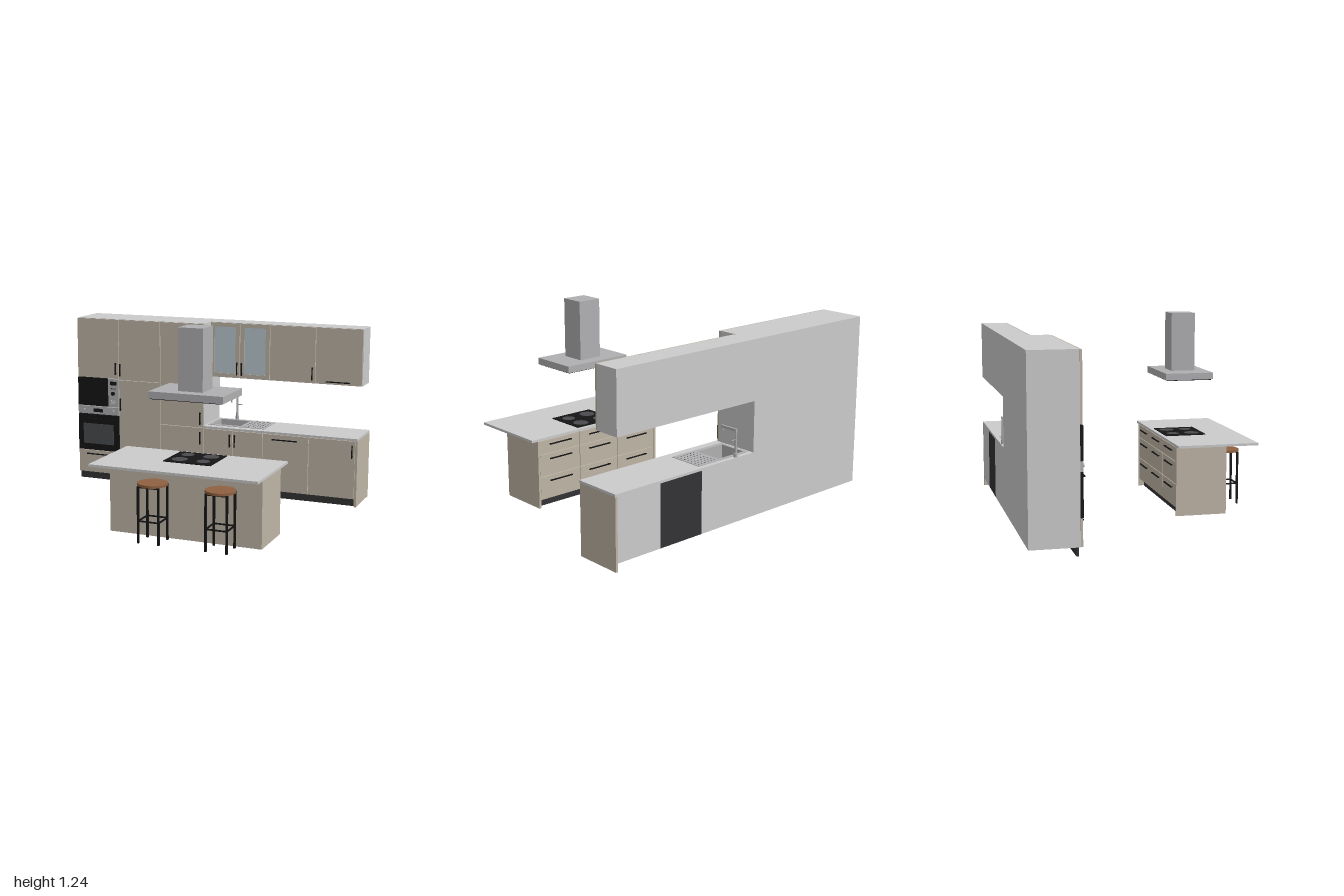
import * as THREE from 'three';

const mat = (color) => new THREE.MeshStandardMaterial({ color });
const GREY = mat(0xcccccc), TAUPE = mat(0xbfb5a6), BLACK = mat(0x151515), DARK = mat(0x333335);
const STEEL = mat(0xb0b0b2), WOOD = mat(0x8f6040), GLASS = mat(0xbccbd0), WINDOW = mat(0x4a4b4e);

function group(parent, name) {
  const g = new THREE.Group();
  g.name = name;
  parent.add(g);
  return g;
}

function add(parent, name, geometry, material) {
  const m = new THREE.Mesh(geometry, material);
  m.name = name;
  parent.add(m);
  return m;
}

// Box given by its limits on each axis
function box(parent, name, [x0, x1], [y0, y1], [z0, z1], material) {
  const m = add(parent, name, new THREE.BoxGeometry(x1 - x0, y1 - y0, z1 - z0), material);
  m.position.set((x0 + x1) / 2, (y0 + y1) / 2, (z0 + z1) / 2);
  return m;
}

function cyl(parent, name, r, h, x, y, z, material, axis = 'y', sides = 24) {
  const m = add(parent, name, new THREE.CylinderGeometry(r, r, h, sides), material);
  if (axis === 'x') m.rotation.z = Math.PI / 2;
  if (axis === 'z') m.rotation.x = Math.PI / 2;
  m.position.set(x, y, z);
  return m;
}

// Flat plate with a rectangular opening, drawn in its own u-v plane
function plateGeometry([u0, u1], [v0, v1], [a0, a1], [b0, b1], depth) {
  const s = new THREE.Shape([[u0, v0], [u1, v0], [u1, v1], [u0, v1]].map(p => new THREE.Vector2(...p)));
  s.holes.push(new THREE.Path([[a0, b0], [a0, b1], [a1, b1], [a1, b0]].map(p => new THREE.Vector2(...p))));
  return new THREE.ExtrudeGeometry(s, { depth, bevelEnabled: false });
}

// Horizontal version of the plate: bottom at y
function flatPlate(parent, name, xs, zs, holeX, holeZ, y, depth, material) {
  const flip = ([a, b]) => [-b, -a];
  const m = add(parent, name, plateGeometry(xs, flip(zs), holeX, flip(holeZ), depth), material);
  m.rotation.x = -Math.PI / 2;
  m.position.y = y;
}

// Bar handle on two posts; dir is the side the front faces
function handle(parent, x, y, z, length, vertical, dir = 1, reach = 0.015) {
  const g = group(parent, 'handle');
  const t = 0.0035, h = length / 2, zb = z + dir * reach;
  const [hx, hy] = vertical ? [t, h] : [h, t];
  box(g, 'handleBar', [x - hx, x + hx], [y - hy, y + hy], [zb - t, zb + t], BLACK);
  for (const s of [-1, 1]) {
    const o = s * (h - 0.01);
    cyl(g, 'handlePost', 0.003, reach, x + (vertical ? 0 : o), y + (vertical ? o : 0), z + dir * reach / 2, BLACK, 'z', 8);
  }
}

const GAP = 0.002;
function front(parent, name, [x0, x1], [y0, y1], z, material = TAUPE, thick = 0.013) {
  box(parent, name, [x0 + GAP, x1 - GAP], [y0 + GAP, y1 - GAP], [z - thick, z], material);
}

// Box of panels with the +z or +y side left open
function openBox(parent, name, [x0, x1], [y0, y1], [z0, z1], open, material, t = 0.01) {
  const g = group(parent, name);
  box(g, 'leftWall', [x1 - t, x1], [y0, y1], [z0, z1], material);
  box(g, 'rightWall', [x0, x0 + t], [y0, y1], [z0, z1], material);
  box(g, 'backWall', [x0 + t, x1 - t], [y0, y1], [z0, z0 + t], material);
  box(g, 'floor', [x0 + t, x1 - t], [y0, y0 + t], [z0 + t, z1], material);
  if (open === 'z') box(g, 'topWall', [x0 + t, x1 - t], [y1 - t, y1], [z0 + t, z1], material);
  else box(g, 'frontWall', [x0 + t, x1 - t], [y0 + t, y1], [z1 - t, z1], material);
  return g;
}

const BACK = -0.785, FACE = -0.482, BODY = -0.496;

function tallUnits(root) {
  const g = group(root, 'tallUnits');
  const c = [-1, -0.685, -0.375, -0.06];
  for (let i = 0; i < 3; i++) box(g, 'tallCarcass', [c[i], c[i + 1]], [0.05, 1.135], [BACK, BODY], GREY);
  const rows = [[[0.05, 0.21], [0.725, 1.135]], [[0.05, 0.72], [0.72, 1.135]], [[0.05, 0.435], [0.435, 1.135]]];
  rows.forEach((r, i) => r.forEach(ys => front(g, 'tallDoor', [c[i], c[i + 1]], ys, FACE)));
  handle(g, -0.845, 0.185, FACE, 0.17, false);
  for (const [x, y] of [[-0.705, 0.797], [-0.67, 0.79], [-0.67, 0.55], [-0.08, 0.5], [-0.08, 0.365]]) handle(g, x, y, FACE, 0.085, true);

  // Microwave
  const m = group(g, 'microwave');
  front(m, 'microwaveDoor', [-1, -0.768], [0.525, 0.725], FACE + 0.004, BLACK, 0.018);
  front(m, 'microwavePanel', [-0.768, -0.685], [0.525, 0.725], FACE + 0.004, STEEL, 0.018);
  box(m, 'microwaveDisplay', [-0.75, -0.702], [0.68, 0.705], [FACE, FACE + 0.006], BLACK);
  cyl(m, 'microwaveKnob', 0.013, 0.014, -0.727, 0.622, FACE + 0.009, BLACK, 'z');
  for (const x of [-0.742, -0.727, -0.712]) cyl(m, 'microwaveButton', 0.004, 0.004, x, 0.655, FACE + 0.005, BLACK, 'z', 10);
  box(m, 'microwaveRelease', [-0.745, -0.71], [0.55, 0.575], [FACE, FACE + 0.006], GREY);

  // Oven
  const o = group(g, 'oven');
  front(o, 'ovenPanel', [-1, -0.685], [0.467, 0.525], FACE + 0.004, STEEL, 0.018);
  front(o, 'ovenDoor', [-1, -0.685], [0.21, 0.467], FACE + 0.004, BLACK, 0.018);
  box(o, 'ovenWindow', [-0.96, -0.727], [0.257, 0.4], [FACE, FACE + 0.006], WINDOW);
  box(o, 'ovenDisplay', [-0.88, -0.81], [0.484, 0.508], [FACE, FACE + 0.006], BLACK);
  for (const x of [-0.955, -0.73]) cyl(o, 'ovenKnob', 0.01, 0.014, x, 0.496, FACE + 0.009, STEEL, 'z');
  handle(o, -0.843, 0.437, FACE + 0.004, 0.26, false, 1, 0.012);
}

function wallUnits(root) {
  const g = group(root, 'wallUnits');
  const ys = [0.765, 1.135], f = -0.608, b = f - 0.014;
  const open = openBox(g, 'glassCabinet', [-0.06, 0.36], ys, [BACK, b], 'z', GREY);
  box(open, 'shelf', [-0.05, 0.35], [0.945, 0.953], [BACK + 0.01, b - 0.02], GREY);
  for (const x of [-0.06, 0.15]) {
    const frame = plateGeometry([x + GAP, x + 0.21 - GAP], [ys[0] + GAP, ys[1] - GAP], [x + 0.03, x + 0.18], [0.795, 1.107], 0.013);
    add(g, 'glassDoorFrame', frame, TAUPE).position.z = f - 0.013;
    box(g, 'glassPane', [x + 0.03, x + 0.18], [0.795, 1.107], [f - 0.009, f - 0.005], GLASS);
  }
  for (const xs of [[0.36, 0.673], [0.673, 0.985]]) {
    box(g, 'wallCarcass', xs, ys, [BACK, b], GREY);
    front(g, 'wallDoor', xs, ys, f);
  }
  for (const x of [0.133, 0.167, 0.655]) handle(g, x, 0.83, f, 0.085, true);
  handle(g, 0.828, 0.785, f, 0.16, false);
}

function baseUnits(root) {
  const g = group(root, 'baseUnits');
  openBox(g, 'sinkCabinet', [-0.06, 0.36], [0.05, 0.435], [BACK, BODY], 'y', GREY);
  box(g, 'dishwasher', [0.36, 0.675], [0.05, 0.435], [BACK, BODY], DARK);
  box(g, 'baseCarcass', [0.675, 0.985], [0.05, 0.435], [BACK, BODY], GREY);
  box(g, 'endPanel', [0.985, 1], [0, 0.435], [BACK, FACE], TAUPE);
  for (const xs of [[-0.06, 0.15], [0.15, 0.36], [0.36, 0.675], [0.675, 0.985]]) front(g, 'baseDoor', xs, [0.05, 0.433], FACE);
  for (const x of [0.133, 0.167, 0.968]) handle(g, x, 0.365, FACE, 0.085, true);
  handle(g, 0.515, 0.4, FACE, 0.17, false);
  box(g, 'plinth', [-1, 0.985], [0, 0.05], [-0.52, -0.507], DARK);

  // Worktop, sink bowl and drainer
  const hx = [-0.03, 0.185], hz = [-0.74, -0.555];
  flatPlate(g, 'worktop', [-0.06, 1], [BACK, -0.475], hx, hz, 0.435, 0.015, GREY);
  flatPlate(g, 'sinkRim', [-0.045, 0.355], [-0.755, -0.53], [-0.025, 0.18], [-0.735, -0.56], 0.45, 0.003, STEEL);
  openBox(g, 'sinkBowl', hx, [0.35, 0.451], hz, 'y', STEEL, 0.005);
  cyl(g, 'sinkDrain', 0.018, 0.003, 0.078, 0.356, -0.648, DARK);
  for (let i = 0; i < 6; i++) for (let j = 0; j < 7; j++)
    cyl(g, 'drainerHole', 0.004, 0.001, 0.21 + i * 0.025, 0.4535, -0.732 + j * 0.029, WINDOW, 'y', 8);

  // Tap
  const t = group(g, 'tap');
  cyl(t, 'tapBase', 0.012, 0.025, 0.075, 0.4625, -0.771, STEEL);
  cyl(t, 'tapColumn', 0.007, 0.16, 0.075, 0.54, -0.771, STEEL);
  box(t, 'tapSpout', [0.069, 0.081], [0.605, 0.62], [-0.778, -0.655], STEEL);
  cyl(t, 'tapOutlet', 0.006, 0.02, 0.075, 0.598, -0.661, STEEL);
  cyl(t, 'tapLever', 0.003, 0.032, 0.095, 0.556, -0.771, STEEL, 'x', 10);
}

function island(root) {
  const g = group(root, 'island');
  const xs = [-0.225, 0.735];
  for (const x of [xs[0], xs[1] - 0.015]) box(g, 'islandSide', [x, x + 0.015], [0, 0.435], [0.265, 0.59], TAUPE);
  box(g, 'islandPanel', [xs[0] + 0.015, xs[1] - 0.015], [0, 0.435], [0.575, 0.59], TAUPE);
  box(g, 'islandCarcass', [-0.21, 0.72], [0.05, 0.435], [0.281, 0.575], GREY);
  box(g, 'islandPlinth', [-0.21, 0.72], [0, 0.05], [0.3, 0.313], DARK);
  box(g, 'islandTop', [-0.268, 0.777], [0.435, 0.45], [0.265, 0.785], GREY);
  // Drawers on the working side
  for (let i = 0; i < 3; i++) {
    const x = -0.21 + i * 0.31;
    for (const [y0, y1, hy] of [[0.05, 0.2, 0.168], [0.2, 0.342, 0.31], [0.342, 0.433, 0.404]]) {
      front(g, 'drawerFront', [x, x + 0.31], [y0, y1], 0.28);
      handle(g, x + 0.155, hy, 0.267, 0.17, false, -1, 0.01);
    }
  }
  // Hob
  box(g, 'hob', [0.105, 0.405], [0.45, 0.455], [0.29, 0.555], BLACK);
  for (const [x, z, r] of [[0.18, 0.355, 0.04], [0.33, 0.355, 0.048], [0.18, 0.48, 0.048], [0.33, 0.48, 0.04]])
    cyl(g, 'hobRing', r, 0.001, x, 0.4555, z, WINDOW, 'y', 32);
}

function hood(root) {
  const g = group(root, 'extractorHood');
  box(g, 'hoodCanopy', [0.02, 0.488], [0.823, 0.865], [0.265, 0.575], STEEL);
  box(g, 'hoodFilter', [0.03, 0.478], [0.818, 0.823], [0.275, 0.565], BLACK);
  box(g, 'hoodChimney', [0.176, 0.332], [0.865, 1.237], [0.343, 0.498], STEEL);
}

function stool(root, cx, cz) {
  const g = group(root, 'stool');
  g.position.set(cx, 0, cz);
  cyl(g, 'seat', 0.089, 0.015, 0, 0.347, 0, WOOD, 'y', 40);
  const d = 0.064, t = 0.006;
  for (const sx of [-d, d]) for (const sz of [-d, d])
    box(g, 'leg', [sx - t, sx + t], [0, 0.34], [sz - t, sz + t], BLACK);
  for (const s of [-d, d]) {
    box(g, 'footrest', [-d, d], [0.129, 0.137], [s - 0.004, s + 0.004], BLACK);
    box(g, 'footrest', [s - 0.004, s + 0.004], [0.129, 0.137], [-d, d], BLACK);
    box(g, 'seatRail', [-d, d], [0.331, 0.339], [s - 0.004, s + 0.004], BLACK);
  }
}

export function createModel() {
  const root = new THREE.Group();
  root.name = 'kitchen';
  tallUnits(root);
  wallUnits(root);
  baseUnits(root);
  island(root);
  hood(root);
  for (const x of [0.098, 0.518]) stool(root, x, 0.686);
  return root;
}
